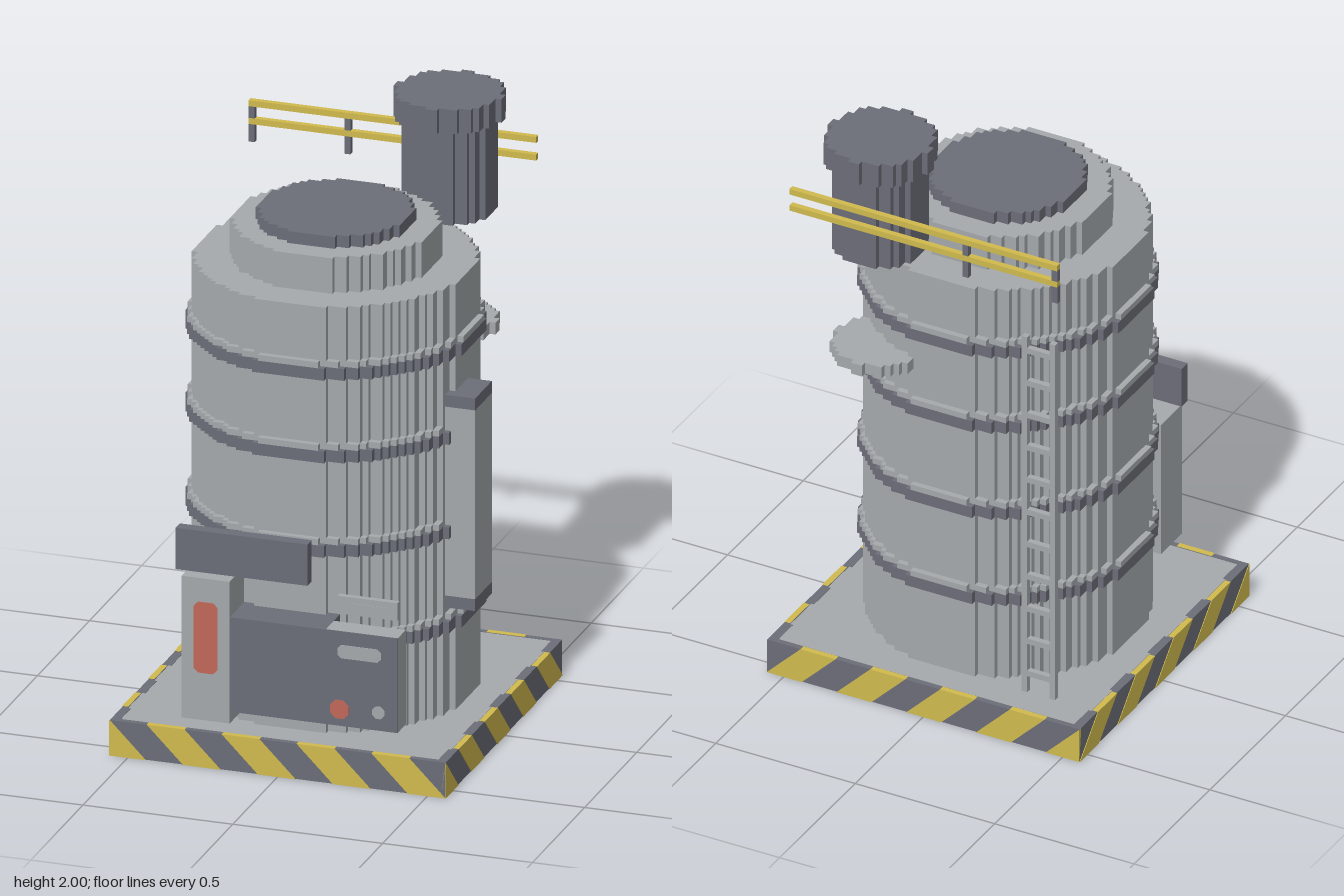
import * as THREE from 'three';

const mat = (name, color) => {
  const m = new THREE.MeshStandardMaterial({ color });
  m.name = name;
  return m;
};

export function createModel() {
  const grey = mat('light grey', 0xa5a9ac);
  const dark = mat('dark grey', 0x6b6d78);
  const yellow = mat('hazard yellow', 0xd0ba4e);
  const red = mat('signal red', 0xc06858);
  const root = new THREE.Group();
  const V = 0.02; // block size

  const add = (name, geo, material, parent = root) => {
    const m = new THREE.Mesh(geo, material);
    m.name = name;
    parent.add(m);
    return m;
  };
  // Box given by its minimum and maximum on each axis
  const box = (name, material, x0, x1, y0, y1, z0, z1, parent) => {
    const m = add(name, new THREE.BoxGeometry(x1 - x0, y1 - y0, z1 - z0), material, parent);
    m.position.set((x0 + x1) / 2, (y0 + y1) / 2, (z0 + z1) / 2);
    return m;
  };
  // Upright cylinder with a stair-stepped, blocky outline
  const disc = (name, material, r, y0, y1, cx = 0, cz = 0.01, parent) => {
    const n = Math.round(r / V), limit = (r / V + 0.3) ** 2, q = [];
    for (let j = 0; j < n; j++) {
      let w = 0;
      while (w < n && (w + 0.5) ** 2 + (j + 0.5) ** 2 <= limit) w++;
      q.push([w, j], [w, j + 1]);
    }
    q.shift();
    const flip = (sx, sy) => q.map(([x, y]) => [x * sx, y * sy]);
    const all = [...q, ...flip(-1, 1).reverse(), ...flip(-1, -1), ...flip(1, -1).reverse()];
    const pts = all
      .filter((p, i) => i === 0 || p[0] !== all[i - 1][0] || p[1] !== all[i - 1][1])
      .map(([x, y]) => new THREE.Vector2(x * V, y * V));
    const geo = new THREE.ExtrudeGeometry(new THREE.Shape(pts), { depth: y1 - y0, bevelEnabled: false });
    geo.rotateX(-Math.PI / 2);
    const m = add(name, geo, material, parent);
    m.position.set(cx, y0, cz);
    return m;
  };
  // Disc with four small nubs reaching out to the given distance
  const nubbedDisc = (name, material, r, reach, y0, y1, cx, cz) => {
    const g = new THREE.Group();
    g.name = name;
    root.add(g);
    disc(name + 'Body', material, r, y0, y1, cx, cz, g);
    for (const [a, b] of [[reach, V], [V, reach]])
      box(name + 'Nubs', material, cx - a, cx + a, y0, y1, cz - b, cz + b, g);
  };
  // Thin chamfered plate facing the front
  const plate = (name, material, x0, x1, y0, y1, c, z) => {
    const s = new THREE.Shape([
      [x0 + c, y0], [x1 - c, y0], [x1, y0 + c], [x1, y1 - c],
      [x1 - c, y1], [x0 + c, y1], [x0, y1 - c], [x0, y0 + c],
    ].map(([x, y]) => new THREE.Vector2(x, y)));
    const m = add(name, new THREE.ExtrudeGeometry(s, { depth: 0.004, bevelEnabled: false }), material);
    m.position.z = z;
  };

  // Grey base slab
  box('base', grey, -0.545, 0.545, 0.002, 0.119, -0.535, 0.555);

  // Dark rim with slanted hazard stripes on all four edges
  const H = 0.121, E = 0.56;
  for (let side = 0; side < 4; side++) {
    const g = new THREE.Group();
    g.name = 'hazardRim';
    g.position.z = 0.01;
    g.rotation.y = side * Math.PI / 2;
    root.add(g);
    box('rim', dark, -E, E, 0.001, 0.12, E - V, E, g);
    const dir = side < 2 ? 1 : -1; // back and left lean the other way
    for (let k = 0; k < 5; k++) {
      const a = -0.565 + k * 0.25, b = a + 0.125; // bottom edge
      const pts = [[Math.max(a, -E), 0], [b, 0]];
      if (k === 0) pts.push([-E, 0.12]);
      else pts.push([b - H, H], [a - H, H]);
      const s = new THREE.Shape(pts.map(([x, y]) => new THREE.Vector2(x * dir, y)));
      const m = add('stripe', new THREE.ExtrudeGeometry(s, { depth: V, bevelEnabled: false }), yellow, g);
      m.position.z = E + 0.002 - V;
      // Dark stripes reach a little further onto the deck at the sides
      if (side % 2) {
        const c = -0.5 + k * 0.25;
        box('rimPatch', dark, c - 0.055, c + 0.055, 0.06, 0.12, E - 0.03, E - V, g);
      }
    }
  }

  // Tank body, shoulder and lid
  disc('tank', grey, 0.44, 0.11, 1.56);
  disc('shoulder', grey, 0.32, 1.56, 1.68);
  disc('lid', dark, 0.24, 1.68, 1.72);

  // Hoops around the tank
  for (const y of [0.4, 0.72, 1.04, 1.32]) {
    disc('hoop', dark, 0.46, y, y + 0.04);
    disc('hoopLip', grey, 0.455, y + 0.04, y + 0.06);
  }

  // Chimney and the round bracket below it
  disc('chimney', dark, 0.14, 1.6, 1.92, 0.24, -0.39);
  nubbedDisc('chimneyCap', dark, 0.166, 0.18, 1.92, 2.0, 0.24, -0.39);
  nubbedDisc('chimneyBracket', grey, 0.148, 0.16, 1.2, 1.24, 0.24, -0.39);

  // Side duct with dark ends
  box('duct', grey, 0.4, 0.52, 0.52, 1.16, 0.01, 0.17);
  box('ductTop', dark, 0.4, 0.52, 1.16, 1.2, 0.01, 0.17);
  box('ductBottom', dark, 0.4, 0.52, 0.48, 0.52, 0.01, 0.17);

  // Ladder
  for (const x of [-0.44, -0.34])
    box('ladderRail', grey, x, x + V, 0.16, 1.48, -0.49, -0.47);
  for (let i = 0; i < 11; i++) {
    const y = 0.22 + i * 0.12;
    box('ladderRung', grey, -0.42, -0.34, y, y + V, -0.49, -0.47);
  }

  // Guard rail
  for (const y of [1.74, 1.8])
    box('guardRail', yellow, -0.48, 0.48, y, y + V, -0.55, -0.53);
  for (const x of [-0.48, -0.16])
    box('guardPost', dark, x, x + V, 1.68, 1.8, -0.549, -0.531);

  // Control console
  box('consolePillar', grey, -0.32, -0.16, 0.16, 0.64, 0.43, 0.57);
  box('console', dark, -0.16, 0.16, 0.2, 0.52, 0.43, 0.57);
  box('consoleWing', grey, 0.16, 0.4, 0.2, 0.52, 0.49, 0.566);
  box('consoleWingFront', dark, 0.16, 0.4, 0.2, 0.52, 0.566, 0.57);
  box('sign', dark, -0.34, 0.1, 0.66, 0.8, 0.53, 0.57);
  box('labelPanel', grey, 0.2, 0.4, 0.58, 0.64, 0.55, 0.57);
  plate('labelSlot', grey, 0.25, 0.36, 0.606, 0.62, 0.001, 0.568);

  // Console lights and buttons
  plate('warningLight', red, -0.28, -0.2, 0.32, 0.56, 0.015, 0.568);
  plate('handle', grey, 0.2, 0.345, 0.43, 0.475, 0.012, 0.568);
  plate('redButton', red, 0.175, 0.238, 0.225, 0.287, 0.018, 0.568);
  plate('greyButton', grey, 0.315, 0.357, 0.24, 0.282, 0.013, 0.568);

  return root;
}
